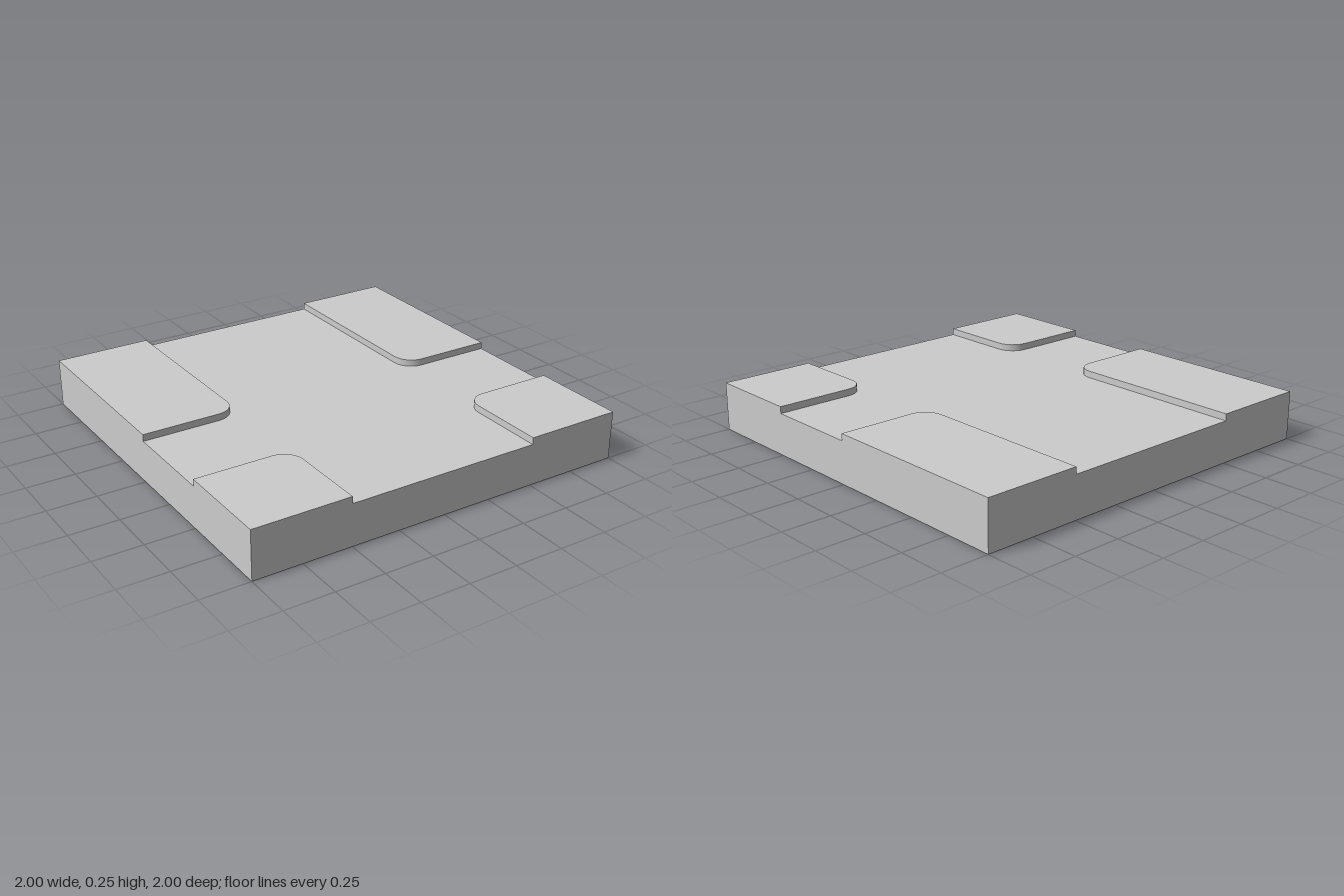
import * as THREE from 'three';
import { toCreasedNormals } from 'three/addons/utils/BufferGeometryUtils.js';

const ROAD_HEIGHT = 0.215;
const PAVEMENT_HEIGHT = 0.25;
const KERB_X = 0.5;
const RADIUS = 0.1;
const SEGMENTS = 6;

// Raised corner plot: side is the sign of x, it runs from its outer edge to innerZ
function pavementGeometry(side, outerZ, innerZ) {
  const toward = Math.sign(outerZ - innerZ);
  const points = [[1, outerZ], [1, innerZ]];
  // Rounded kerb at the junction
  for (let i = 0; i <= SEGMENTS; i++) {
    const a = (i / SEGMENTS) * Math.PI / 2;
    points.push([
      KERB_X + RADIUS * (1 - Math.sin(a)),
      innerZ + toward * RADIUS * (1 - Math.cos(a)),
    ]);
  }
  points.push([KERB_X, outerZ]);

  const shape = new THREE.Shape(points.map(([x, z]) => new THREE.Vector2(side * x, -z)));
  const geometry = new THREE.ExtrudeGeometry(shape, {
    depth: PAVEMENT_HEIGHT - ROAD_HEIGHT,
    bevelEnabled: false,
  });
  geometry.rotateX(-Math.PI / 2);
  geometry.translate(0, ROAD_HEIGHT, 0);
  return toCreasedNormals(geometry, Math.PI / 6);
}

export function createModel() {
  const group = new THREE.Group();
  group.name = 'roadJunctionTile';
  const material = new THREE.MeshStandardMaterial({ color: 0xcccccc });

  const add = (name, geometry) => {
    const mesh = new THREE.Mesh(geometry, material);
    mesh.name = name;
    group.add(mesh);
  };

  // Square slab whose top is the crossing road surface
  const slab = new THREE.BoxGeometry(2, ROAD_HEIGHT, 2);
  slab.translate(0, ROAD_HEIGHT / 2, 0);
  add('roadSlab', slab);

  // Four pavements: long ones at the back, short ones at the front
  for (const [sideName, side] of [['Left', 1], ['Right', -1]]) {
    add('back' + sideName + 'Pavement', pavementGeometry(side, -1, 0));
    add('front' + sideName + 'Pavement', pavementGeometry(side, 1, 0.5));
  }

  return group;
}
